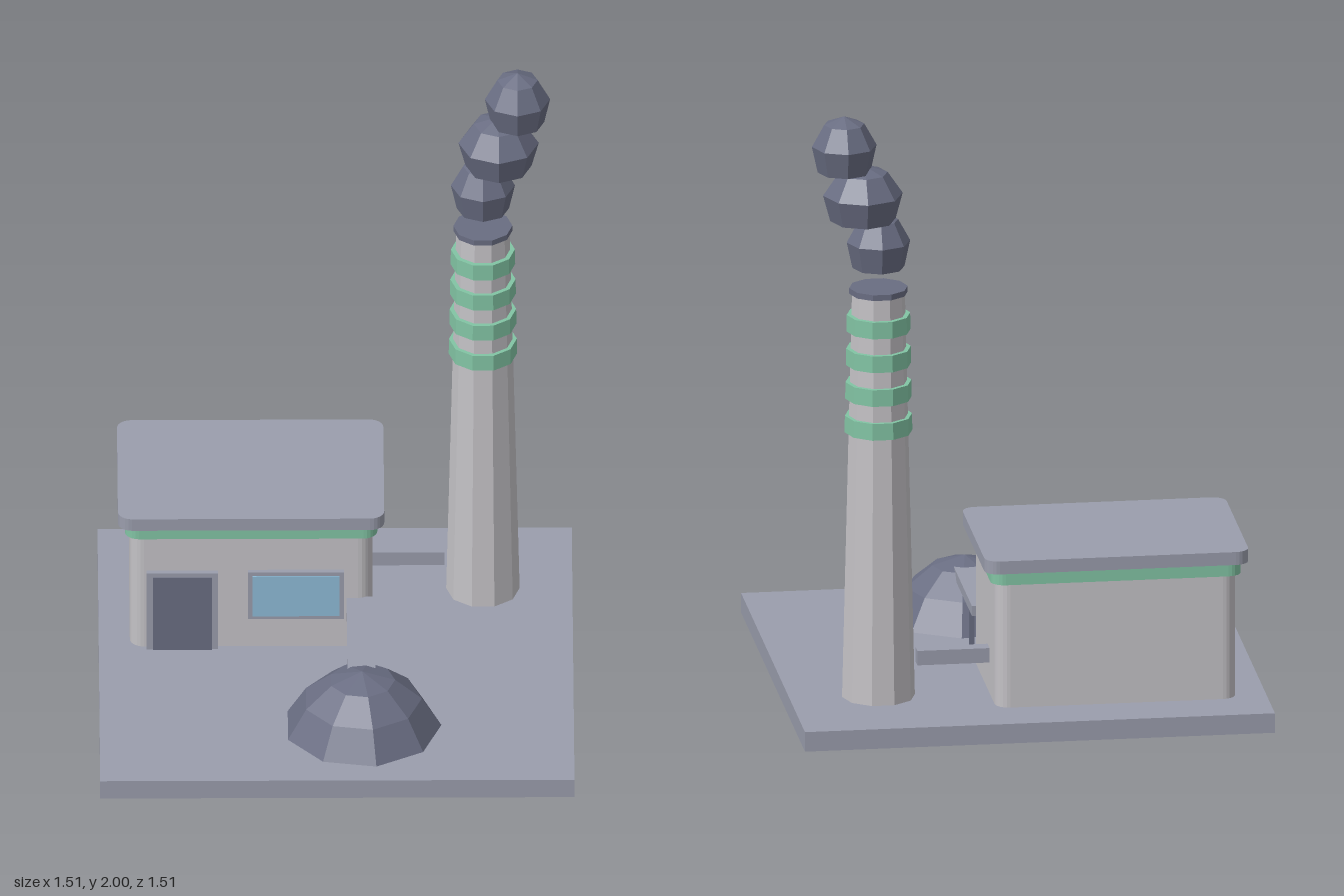
import * as THREE from 'three';

const material = (name, color) => {
  const m = new THREE.MeshStandardMaterial({ color });
  m.name = name;
  return m;
};

// Separate the faces so that every facet is flat.
const faceted = (geometry) => {
  const g = geometry.index ? geometry.toNonIndexed() : geometry;
  g.computeVertexNormals();
  return g;
};

// Upright slab with rounded vertical corners, standing on y = 0.
function roundedSlab(width, height, depth, r) {
  const x = width / 2, y = depth / 2;
  const s = new THREE.Shape();
  s.moveTo(-x + r, -y);
  s.lineTo(x - r, -y);
  s.absarc(x - r, -y + r, r, -Math.PI / 2, 0);
  s.lineTo(x, y - r);
  s.absarc(x - r, y - r, r, 0, Math.PI / 2);
  s.lineTo(-x + r, y);
  s.absarc(-x + r, y - r, r, Math.PI / 2, Math.PI);
  s.lineTo(-x, -y + r);
  s.absarc(-x + r, -y + r, r, Math.PI, Math.PI * 1.5);
  const g = new THREE.ExtrudeGeometry(s, { depth: height, bevelEnabled: false, curveSegments: 3 });
  return faceted(g.rotateX(-Math.PI / 2));
}

const lathe = (profile, sides, start) => faceted(new THREE.LatheGeometry(
  profile.map(([r, y]) => new THREE.Vector2(r, y)), sides, start));

export function createModel() {
  const group = new THREE.Group();
  const concrete = material('concrete grey', 0x9a9dac);
  const wall = material('wall grey', 0xc4c2c6);
  const green = material('trim green', 0x82c4a4);
  const dark = material('coal grey', 0x696d82);
  const glass = material('glass blue', 0x8dbad6);

  const add = (name, geometry, mat, x = 0, y = 0, z = 0) => {
    const mesh = new THREE.Mesh(geometry, mat);
    mesh.name = name;
    mesh.position.set(x, y, z);
    group.add(mesh);
    return mesh;
  };
  // Box given by its limits on each axis.
  const box = (name, mat, [x0, x1], [y0, y1], [z0, z1]) => add(name,
    new THREE.BoxGeometry(x1 - x0, y1 - y0, z1 - z0), mat,
    (x0 + x1) / 2, (y0 + y1) / 2, (z0 + z1) / 2);

  box('base', concrete, [-0.755, 0.755], [0, 0.065], [-0.755, 0.755]);

  // Building: walls, trim and overhanging roof
  const bx = -0.27, bz = -0.316;
  add('walls', roundedSlab(0.772, 0.415, 0.53, 0.045), wall, bx, 0.065, bz);
  add('wallTrim', roundedSlab(0.804, 0.042, 0.562, 0.045), green, bx, 0.478, bz);
  add('roof', roundedSlab(0.848, 0.043, 0.594, 0.045), concrete, bx, 0.52, bz);

  // Door and window on the front wall
  box('doorFrame', concrete, [-0.603, -0.376], [0.065, 0.35], [-0.06, -0.034]);
  box('door', dark, [-0.583, -0.394], [0.065, 0.335], [-0.036, -0.03]);
  box('windowFrame', concrete, [-0.28, 0.026], [0.177, 0.352], [-0.06, -0.034]);
  box('windowGlass', glass, [-0.265, 0.011], [0.19, 0.339], [-0.036, -0.03]);

  // Duct to the chimney, conveyor to the coal pile
  box('duct', concrete, [0.1, 0.348], [0.167, 0.215], [-0.418, -0.37]);
  box('conveyor', concrete, [0.034, 0.124], [0.212, 0.245], [-0.06, 0.42]);
  for (const x of [0.05, 0.108]) {
    box('conveyorLeg', dark, [x - 0.008, x + 0.008], [0.06, 0.213], [0.058, 0.074]);
  }
  add('coalPile', lathe([[0.252, 0.065], [0.19, 0.165], [0.105, 0.235], [0, 0.267]], 9, Math.PI / 2),
    dark, 0.081, 0, 0.424);

  // Tapered chimney with bands and a cap
  const cx = 0.47, cz = -0.395;
  const drum = (name, mat, rTop, rBottom, y0, y1) => add(name,
    faceted(new THREE.CylinderGeometry(rTop, rBottom, y1 - y0, 10, 1, false, Math.PI / 2)),
    mat, cx, (y0 + y1) / 2, cz);
  drum('chimney', wall, 0.085, 0.117, 0.065, 1.41);
  for (let i = 0; i < 4; i++) {
    const y = 0.947 + i * 0.112, r = 0.109 - i * 0.002;
    drum('chimneyBand', green, r - 0.001, r, y, y + 0.055);
  }
  drum('chimneyCap', dark, 0.094, 0.094, 1.408, 1.427);

  // Smoke puffs drifting to one side
  const puff = [[0, 0], [0.82, 0.1], [1, 0.52], [0.62, 0.87], [0, 1]];
  for (const [x, y, r] of [[0.47, 1.473, 0.102], [0.52, 1.632, 0.128], [0.58, 1.796, 0.104]]) {
    add('smokePuff', lathe(puff.map(([pr, py]) => [pr * r, py * 0.204]), 8, 0), dark, x, y, cz);
  }
  return group;
}
